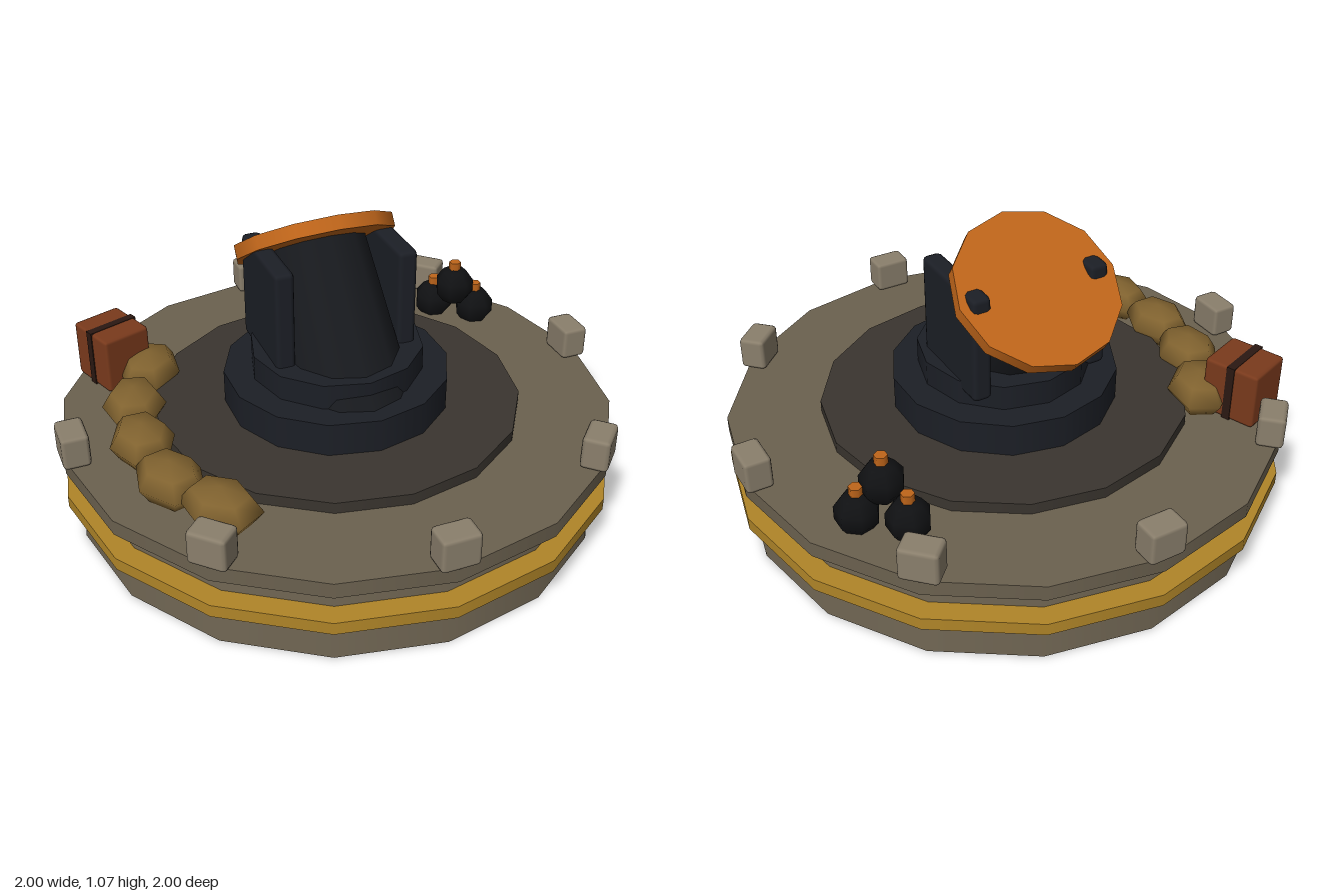
import * as THREE from 'three';
import { RoundedBoxGeometry } from 'three/addons/geometries/RoundedBoxGeometry.js';

const mat = (color, flatShading = false) => new THREE.MeshStandardMaterial({ color, flatShading });
const stone = mat(0x6b614f), darkStone = mat(0x3a352f), gold = mat(0xb08528), block = mat(0x8a7f6c);
const steel = mat(0x1c1f26), barrelSteel = mat(0x17191d), copper = mat(0xbf651a);
const sack = mat(0x80622f), wood = mat(0x7a3a1c), strapMat = mat(0x2a1812), iron = mat(0x101113);

function add(parent, name, geometry, material, x = 0, y = 0, z = 0) {
  const mesh = new THREE.Mesh(geometry, material);
  mesh.name = name;
  mesh.position.set(x, y, z);
  parent.add(mesh);
  return mesh;
}

// Upright drum between two heights
function drum(parent, name, material, rTop, rBottom, y0, y1, sides) {
  const geometry = new THREE.CylinderGeometry(rTop, rBottom, y1 - y0, sides);
  return add(parent, name, geometry, material, 0, (y0 + y1) / 2, 0);
}

export function createModel() {
  const model = new THREE.Group();
  model.name = 'mortarEmplacement';
  const deck = 0.335;

  // Round platform
  drum(model, 'platformBase', stone, 0.9, 0.945, 0, 0.285, 16);
  drum(model, 'platformRim', stone, 0.985, 0.985, 0.28, deck, 16);
  drum(model, 'trimBand', gold, 0.99, 0.99, 0.14, 0.185, 16);
  drum(model, 'innerFloor', darkStone, 0.655, 0.655, 0.33, 0.375, 16);

  // Eight blocks around the rim
  for (let i = 0; i < 8; i++) {
    const a = (i * Math.PI) / 4;
    const b = add(model, 'rimBlock', new RoundedBoxGeometry(0.135, 0.12, 0.095, 1, 0.014), block,
      Math.sin(a) * 0.95, 0.395, Math.cos(a) * 0.95);
    b.rotation.y = a;
  }

  // Turntable
  drum(model, 'turntableLower', steel, 0.4, 0.4, 0.37, 0.495, 14);
  drum(model, 'turntableUpper', steel, 0.305, 0.305, 0.49, 0.585, 12);

  // Barrel leaning back, with its muzzle lid
  const gun = new THREE.Group();
  gun.name = 'gun';
  gun.position.set(0, 0.885, -0.21);
  gun.rotation.x = THREE.MathUtils.degToRad(-35);
  model.add(gun);
  add(gun, 'barrel', new THREE.CylinderGeometry(0.18, 0.228, 0.65, 12), barrelSteel, 0, -0.325, 0);
  add(gun, 'muzzleLid', new THREE.CylinderGeometry(0.29, 0.29, 0.05, 12), copper);

  // Side cheeks holding the barrel
  for (const s of [-1, 1]) {
    add(model, 'cheekPlate', new RoundedBoxGeometry(0.07, 0.39, 0.357, 1, 0.018), steel, s * 0.222, 0.74, -0.072);
  }

  // Curved row of sandbags
  const bags = [[-0.59, -0.37, -0.5], [-0.7, -0.16, -0.24], [-0.73, 0.07, 0], [-0.7, 0.31, 0.24], [-0.59, 0.5, 0.55]];
  for (const [x, z, turn] of bags) {
    const bag = add(model, 'sandbag', new THREE.SphereGeometry(1, 6, 4), sack, x, 0.39, z);
    bag.scale.set(0.112, 0.076, 0.15);
    bag.rotation.y = turn;
  }

  // Ammunition crate with strap
  const crate = new THREE.Group();
  crate.name = 'crate';
  crate.position.set(-0.695, 0.44, -0.476);
  crate.rotation.y = THREE.MathUtils.degToRad(20);
  model.add(crate);
  add(crate, 'crateBox', new RoundedBoxGeometry(0.185, 0.21, 0.207, 1, 0.012), wood);
  add(crate, 'crateStrap', new THREE.BoxGeometry(0.192, 0.214, 0.03), strapMat);

  // Small pile of bombs with fuses
  for (const [x, y, z] of [[0.62, 0.385, -0.48], [0.745, 0.385, -0.37], [0.66, 0.485, -0.385]]) {
    add(model, 'bomb', new THREE.SphereGeometry(0.078, 7, 5), iron, x, y, z);
    add(model, 'fuse', new THREE.CylinderGeometry(0.023, 0.023, 0.05, 6), copper, x, y + 0.076, z);
  }
  return model;
}
